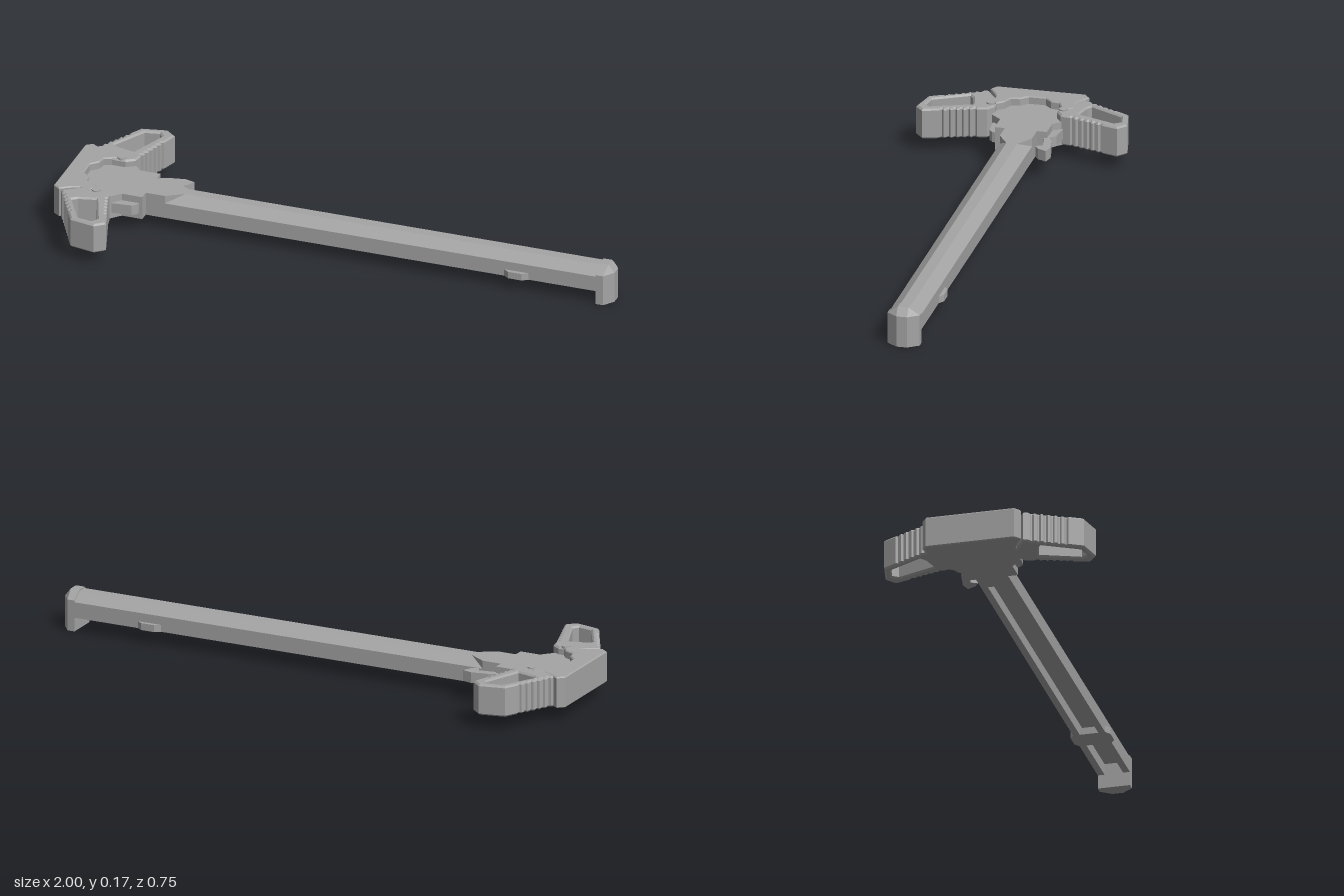
import * as THREE from 'three';
import { ConvexGeometry } from 'three/addons/geometries/ConvexGeometry.js';

const metal = new THREE.MeshStandardMaterial({ color: 0xa4a4a4 });
metal.name = 'grey metal';
const MID = -0.014; // z of the bar's centre line

// Extrude a plan outline of [x, z] points from y0 up to y1
function plan(points, y0, y1, bevel = 0, hole = null) {
  const toV = (p) => new THREE.Vector2(p[0], -p[1]);
  const shape = new THREE.Shape(points.map(toV));
  if (hole) shape.holes.push(new THREE.Path(hole.map(toV)));
  const geo = new THREE.ExtrudeGeometry(shape, {
    depth: y1 - y0 - 2 * bevel, bevelEnabled: bevel > 0, bevelThickness: bevel,
    bevelSize: bevel, bevelOffset: -bevel, bevelSegments: 1,
  });
  geo.rotateX(-Math.PI / 2);
  geo.translate(0, y0 + bevel, 0);
  return geo;
}

// Complete half an outline by reflecting it in z
const mirrored = (half) => [...half, ...half.map(([x, z]) => [x, -z]).reverse()];
const flip = (points, side) => points.map(([x, z]) => [x, z * side]);

// Toothed line between two points, teeth cut to the given side
function teeth(a, b, count, depth) {
  const dx = b[0] - a[0], dz = b[1] - a[1], len = Math.hypot(dx, dz);
  const nx = (-dz / len) * depth, nz = (dx / len) * depth;
  const out = [];
  for (let i = 0; i < count; i++) {
    for (const [f, cut] of [[0, 0], [0.4, 0], [0.6, 1], [0.8, 1]]) {
      const t = (i + f) / count;
      out.push([a[0] + dx * t + nx * cut, a[1] + dz * t + nz * cut]);
    }
  }
  out.push(b);
  return out;
}

export function createModel() {
  const model = new THREE.Group();
  model.name = 'pullHandle';
  const add = (name, geo, z = 0) => {
    const mesh = new THREE.Mesh(geo, metal);
    mesh.name = name;
    mesh.position.z = z;
    model.add(mesh);
    return mesh;
  };

  // Long bar: chamfered top, channel underneath
  const section = mirrored([
    [0.019, 0.135], [0.057, 0.106], [0.057, 0.05], [0.033, 0.05], [0.033, 0.09],
  ].map(([z, y]) => [y, z])).map(([y, z]) => new THREE.Vector2(z, y));
  const bar = new THREE.ExtrudeGeometry(new THREE.Shape(section), { depth: 1.67, bevelEnabled: false });
  bar.rotateY(Math.PI / 2);
  bar.translate(-0.71, 0, 0);
  add('bar', bar, MID);

  // Hooked end of the bar
  const pts = [];
  const ring = (y, list) => list.forEach(([x, z]) =>
    pts.push(new THREE.Vector3(x, y, z), new THREE.Vector3(x, y, -z)));
  const foot = [[0.945, 0.057], [0.972, 0.057], [1, 0.019]];
  ring(0, foot);
  ring(0.112, foot);
  ring(0.14, [[0.945, 0.019], [0.978, 0.019]]);
  add('endHook', new ConvexGeometry(pts), MID);

  // Small side lugs
  add('sideLugs', plan(mirrored([[0.61, 0.057], [0.63, 0.071], [0.68, 0.071], [0.7, 0.057]])
    .map(([x, z]) => [x, z]), 0.05, 0.075), MID).name = 'sideLugs';

  // Neck: square-shouldered root of the bar
  add('neck', plan(mirrored([
    [-0.96, 0.1], [-0.9, 0.11], [-0.86, 0.135], [-0.81, 0.13], [-0.775, 0.092],
    [-0.7, 0.092], [-0.7, 0.057], [-0.63, 0.057],
  ]), 0.05, 0.135), MID);
  add('neckTaper', plan(mirrored([[-0.64, 0.057], [-0.63, 0.057], [-0.57, 0.019]]), 0.1, 0.135), MID);

  // Raised crescent at the rear
  add('rearBody', plan(mirrored([
    [-0.935, 0.03], [-0.91, 0.055], [-0.905, 0.085], [-0.87, 0.1], [-0.85, 0.125],
    [-0.87, 0.145], [-0.91, 0.14], [-0.935, 0.15], [-0.975, 0.175], [-1, 0.157],
  ]), 0.05, 0.163, 0.004), MID);

  // Pair of winged levers with open centres and gripping ribs
  const wing = [
    [-0.91, 0.128], [-0.965, 0.165],
    ...teeth([-0.958, 0.178], [-0.888, 0.307], 6, -0.007),
    [-0.862, 0.355], [-0.77, 0.374], [-0.735, 0.345],
    ...teeth([-0.751, 0.295], [-0.793, 0.165], 6, -0.007),
    [-0.8, 0.13], [-0.83, 0.11], [-0.88, 0.11],
  ];
  const opening = [
    [-0.908, 0.215], [-0.89, 0.202], [-0.828, 0.187], [-0.775, 0.325], [-0.79, 0.345], [-0.842, 0.335],
  ];
  for (const side of [1, -1]) {
    const label = side > 0 ? 'front' : 'back';
    add(label + 'Lever', plan(flip(wing, side), 0.05, 0.161, 0.006, flip(opening, side)));

    // Pivot pin
    const pin = new THREE.CylinderGeometry(0.016, 0.016, 0.112, 16);
    pin.translate(-0.85, 0.109, side * 0.128);
    add(label + 'Pin', pin);

    // Lever toe beside the neck
    const toe = [[-0.8, 0.06], [-0.8, 0.125], [-0.73, 0.118], [-0.715, 0.105], [-0.705, 0.06]];
    add(label + 'Toe', plan(flip(toe, side), 0.073, 0.11), MID);
  }

  // Catch hook on the back side only
  add('catch', plan([
    [-0.74, -0.1], [-0.68, -0.128], [-0.62, -0.139], [-0.585, -0.13], [-0.6, -0.1],
    [-0.622, -0.085], [-0.635, -0.108], [-0.69, -0.098], [-0.72, -0.08],
  ], 0.073, 0.112));

  return model;
}
